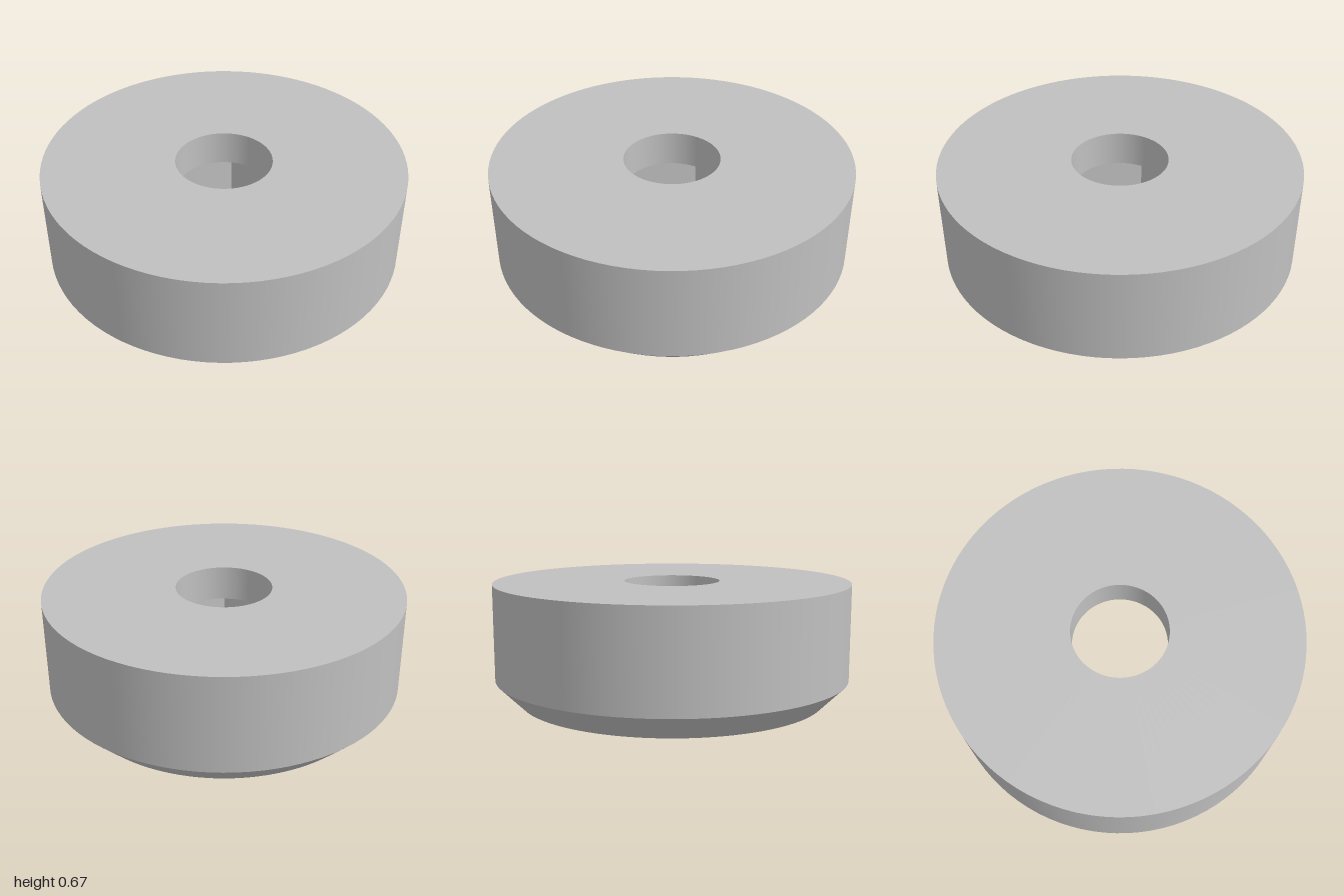
import * as THREE from 'three';

const SEGMENTS = 96;
const HEIGHT = 0.667, CHAMFER = 0.133;
const BORE = 0.268, HEX = 0.526, SOCKET_DEPTH = 0.467;

export function createModel() {
  const model = new THREE.Group();
  const grey = new THREE.MeshStandardMaterial({ color: 0xc0c0c0 });
  grey.name = 'plainGrey';

  function add(name, geometry) {
    const mesh = new THREE.Mesh(geometry, grey);
    mesh.name = name;
    model.add(mesh);
  }

  // One turned band between two [radius, height] points; rising bands face outwards.
  function band(name, from, to) {
    const points = [new THREE.Vector2(...from), new THREE.Vector2(...to)];
    add(name, new THREE.LatheGeometry(points, SEGMENTS));
  }

  // Hexagon outline with corners on the z axis.
  const hexCorners = [];
  for (let i = 0; i < 6; i++) {
    const a = i * Math.PI / 3;
    hexCorners.push(new THREE.Vector2(HEX * Math.sin(a), HEX * Math.cos(a)));
  }
  const circle = (radius) => new THREE.Path().absarc(0, 0, radius, 0, Math.PI * 2, false);

  // Flat face that looks down, with a hole in it.
  function underside(name, outline, hole, y) {
    const shape = new THREE.Shape(outline);
    shape.holes.push(hole);
    add(name, new THREE.ShapeGeometry(shape, SEGMENTS).rotateX(Math.PI / 2).translate(0, y, 0));
  }

  // Outer body, top face and round bore
  band('chamfer', [1 - CHAMFER, 0], [1, CHAMFER]);
  band('outerWall', [1, CHAMFER], [1, HEIGHT]);
  band('topFace', [1, HEIGHT], [BORE, HEIGHT]);
  band('boreWall', [BORE, HEIGHT], [BORE, SOCKET_DEPTH]);

  // Bottom face and the hexagonal socket sunk into it
  underside('bottomFace', circle(1 - CHAMFER).getPoints(SEGMENTS), new THREE.Path(hexCorners), 0);
  underside('socketCeiling', hexCorners, circle(BORE), SOCKET_DEPTH);
  const walls = new THREE.LatheGeometry(
    [new THREE.Vector2(HEX, SOCKET_DEPTH), new THREE.Vector2(HEX, 0)], 6).toNonIndexed();
  walls.computeVertexNormals();
  add('socketWalls', walls);

  return model;
}
